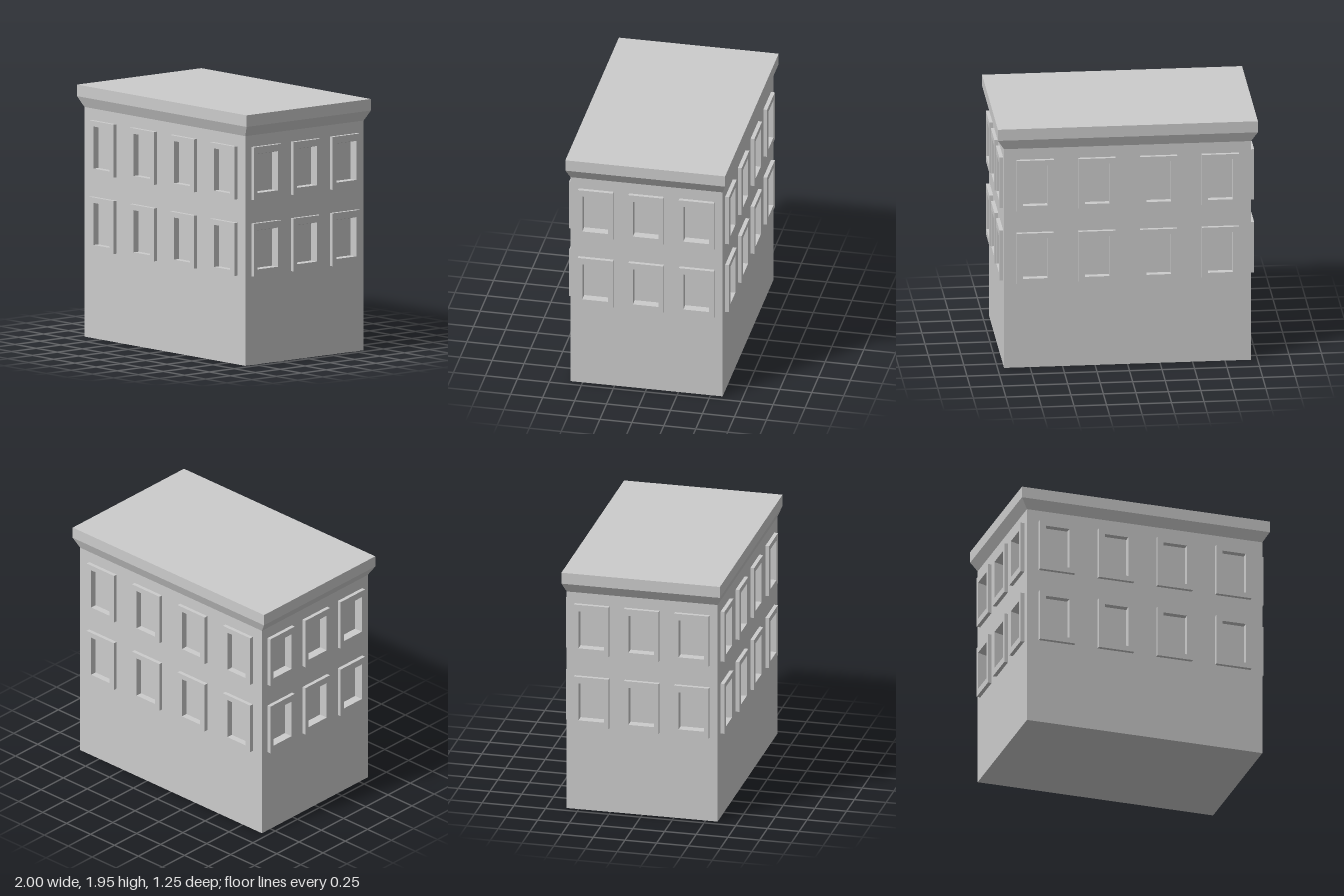
import * as THREE from 'three';

const grey = new THREE.MeshStandardMaterial({ color: 0xcccccc, flatShading: true });

const BODY_X = 0.95, BODY_Z = 0.595, WALL_TOP = 1.78;

// Skin a series of rectangles [x0, x1, y0, y1, z] and close the last one
function loftRects(rects) {
  const corners = ([x0, x1, y0, y1, z]) => [[x0, y0, z], [x1, y0, z], [x1, y1, z], [x0, y1, z]];
  const pos = [];
  const quad = (a, b, c, d) => pos.push(...a, ...b, ...c, ...a, ...c, ...d);
  const loops = rects.map(corners);
  for (let i = 0; i < loops.length - 1; i++) {
    const p = loops[i], q = loops[i + 1];
    for (let k = 0; k < 4; k++) {
      const n = (k + 1) % 4;
      quad(p[k], p[n], q[n], q[k]);
    }
  }
  quad(...loops[loops.length - 1]);
  const geo = new THREE.BufferGeometry();
  geo.setAttribute('position', new THREE.Float32BufferAttribute(pos, 3));
  geo.computeVertexNormals();
  return geo;
}

function addMesh(parent, name, geo) {
  const mesh = new THREE.Mesh(geo, grey);
  mesh.name = name;
  parent.add(mesh);
  return mesh;
}

function rectPath(PathType, x0, x1, y0, y1) {
  return new PathType([[x0, y0], [x1, y0], [x1, y1], [x0, y1]].map(p => new THREE.Vector2(...p)));
}

// Raised frame with a recessed pane; the head of the recess may slope down inward
function windowGeometry({ w, h, iw, bottom, top, depth, slope }) {
  return loftRects([
    [-w, w, -h, h, 0],
    [-w, w, -h, h, 0.03],
    [-iw, iw, bottom, top, 0.03],
    [-iw, iw, bottom, top - slope, -depth],
  ]);
}

// Wall facing +z with openings, and a window set in each opening
function buildWall(name, halfWidth, columns, win) {
  const wall = new THREE.Group();
  wall.name = name;
  const shape = rectPath(THREE.Shape, -halfWidth, halfWidth, 0, WALL_TOP);
  const geo = windowGeometry(win);
  for (const y of [0.893, 1.485]) {
    for (const x of columns) {
      shape.holes.push(rectPath(THREE.Path, x - win.w, x + win.w, y - win.h, y + win.h));
      addMesh(wall, 'window', geo).position.set(x, y, 0);
    }
  }
  addMesh(wall, 'wallPanel', new THREE.ShapeGeometry(shape));
  return wall;
}

export function createModel() {
  const building = new THREE.Group();
  building.name = 'building';

  const longWindow = { w: 0.143, h: 0.205, iw: 0.095, bottom: -0.163, top: 0.163, depth: 0.02, slope: 0 };
  const sideWindow = { w: 0.137, h: 0.205, iw: 0.101, bottom: -0.152, top: 0.152, depth: 0.04, slope: 0.016 };

  // Four walls, each turned to face outward
  const walls = [
    ['frontWall', 0, BODY_X, BODY_Z],
    ['leftWall', 1, BODY_Z, BODY_X],
    ['backWall', 2, BODY_X, BODY_Z],
    ['rightWall', 3, BODY_Z, BODY_X],
  ];
  for (const [name, turn, halfWidth, distance] of walls) {
    const long = turn % 2 === 0;
    const columns = long ? [-0.712, -0.237, 0.237, 0.712] : [-0.395, 0, 0.395];
    const wall = buildWall(name, halfWidth, columns, long ? longWindow : sideWindow);
    const angle = turn * Math.PI / 2;
    wall.rotation.y = angle;
    wall.position.set(Math.sin(angle) * distance, 0, Math.cos(angle) * distance);
    building.add(wall);
  }

  // Flared cornice with the flat roof as its cap
  const cornice = loftRects([
    [-BODY_X, BODY_X, -BODY_Z, BODY_Z, WALL_TOP],
    [-1, 1, -0.625, 0.625, 1.86],
    [-1, 1, -0.625, 0.625, 1.95],
  ]);
  addMesh(building, 'corniceAndRoof', cornice.rotateX(-Math.PI / 2));

  // Underside
  const base = new THREE.PlaneGeometry(2 * BODY_X, 2 * BODY_Z);
  addMesh(building, 'base', base.rotateX(Math.PI / 2));

  return building;
}
